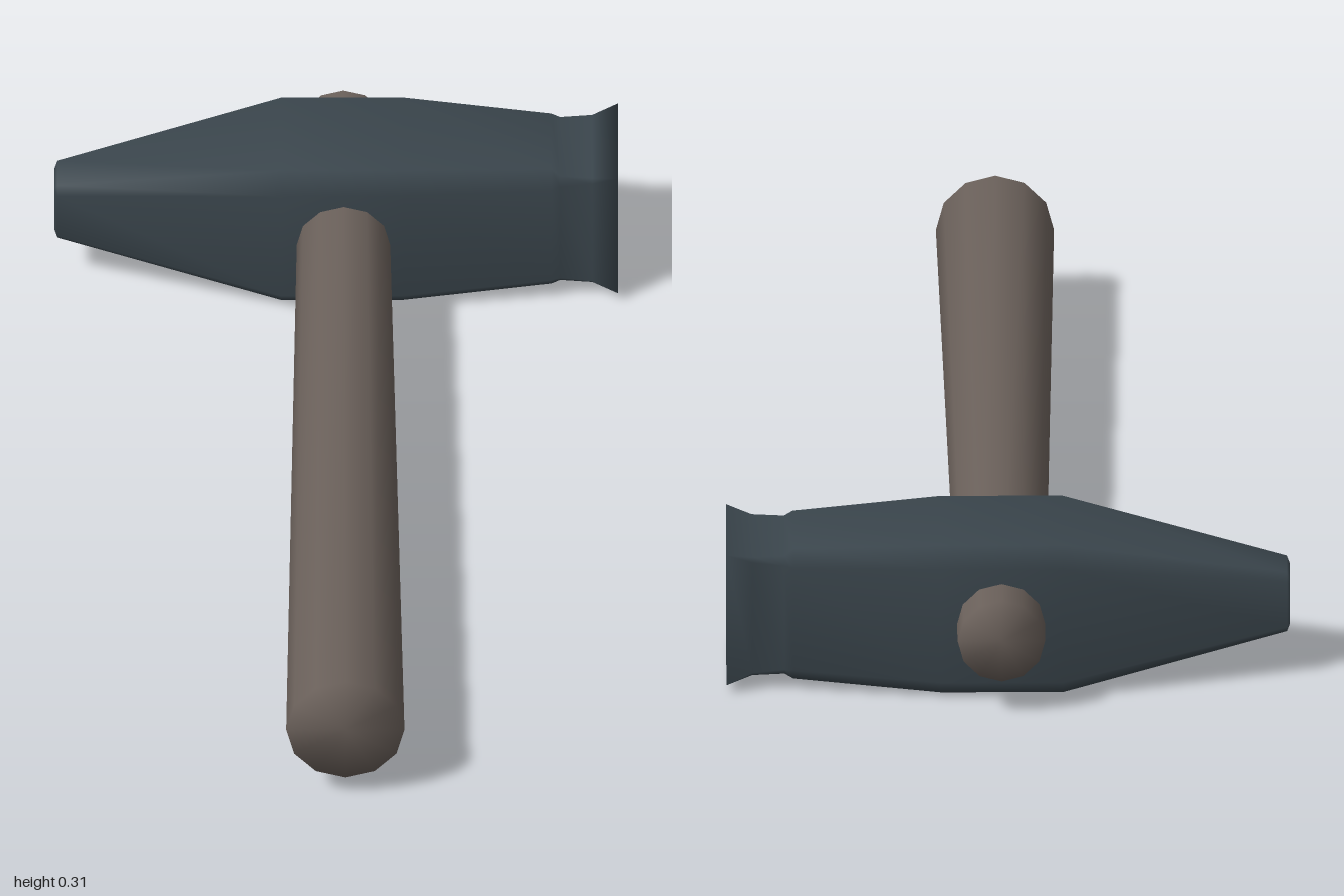
import * as THREE from 'three';
import { mergeVertices } from 'three/addons/utils/BufferGeometryUtils.js';

// Share vertices so that shading runs smoothly across every edge
function smooth(geometry) {
  geometry.deleteAttribute('normal');
  geometry.deleteAttribute('uv');
  const merged = mergeVertices(geometry, 1e-4);
  merged.computeVertexNormals();
  return merged;
}

// Loft chamfered rectangles along x; section = [x, half height, half depth, chamfer]
function loftHead(sections) {
  const positions = [];
  const index = [];
  const n = 8;
  for (const [x, h, d, c] of sections) {
    const ring = [
      [h, -d + c], [h, d - c], [h - c, d], [-h + c, d],
      [-h, d - c], [-h, -d + c], [-h + c, -d], [h - c, -d],
    ];
    for (const [y, z] of ring) positions.push(x, y, z);
  }
  for (let s = 0; s < sections.length - 1; s++) {
    for (let k = 0; k < n; k++) {
      const a = s * n + k;
      const b = s * n + (k + 1) % n;
      index.push(a, b, b + n, a, b + n, a + n);
    }
  }
  // End faces
  const last = (sections.length - 1) * n;
  for (let k = 1; k < n - 1; k++) {
    index.push(0, k + 1, k);
    index.push(last, last + k, last + k + 1);
  }
  const geometry = new THREE.BufferGeometry();
  geometry.setAttribute('position', new THREE.Float32BufferAttribute(positions, 3));
  geometry.setIndex(index);
  return smooth(geometry);
}

export function createModel() {
  const steel = new THREE.MeshStandardMaterial({ color: 0x3a454c });
  steel.name = 'dark steel';
  const wood = new THREE.MeshStandardMaterial({ color: 0x6a605a });
  wood.name = 'grey brown wood';

  const model = new THREE.Group();
  model.name = 'hammer';

  // Head: tapered peen, thick eye, narrow neck and flared striking face
  const head = new THREE.Mesh(loftHead([
    [-0.555, 0.05, 0.045, 0.012],
    [-0.549, 0.063, 0.056, 0.015],
    [-0.11, 0.157, 0.157, 0.036],
    [0.13, 0.157, 0.157, 0.036],
    [0.42, 0.139, 0.122, 0.03],
    [0.437, 0.126, 0.113, 0.015],
    [0.5, 0.126, 0.113, 0.008],
    [0.55, 0.139, 0.125, 0],
  ]), steel);
  head.name = 'head';
  head.position.set(0, 0.157, -0.763);
  model.add(head);

  // Handle: tapers from the grip end to the tip behind the head
  const shaft = new THREE.CylinderGeometry(0.116, 0.086, 2, 12).rotateX(Math.PI / 2);
  const handle = new THREE.Mesh(smooth(shaft), wood);
  handle.name = 'handle';
  handle.position.set(0.012, 0.16, 0);
  model.add(handle);

  return model;
}
